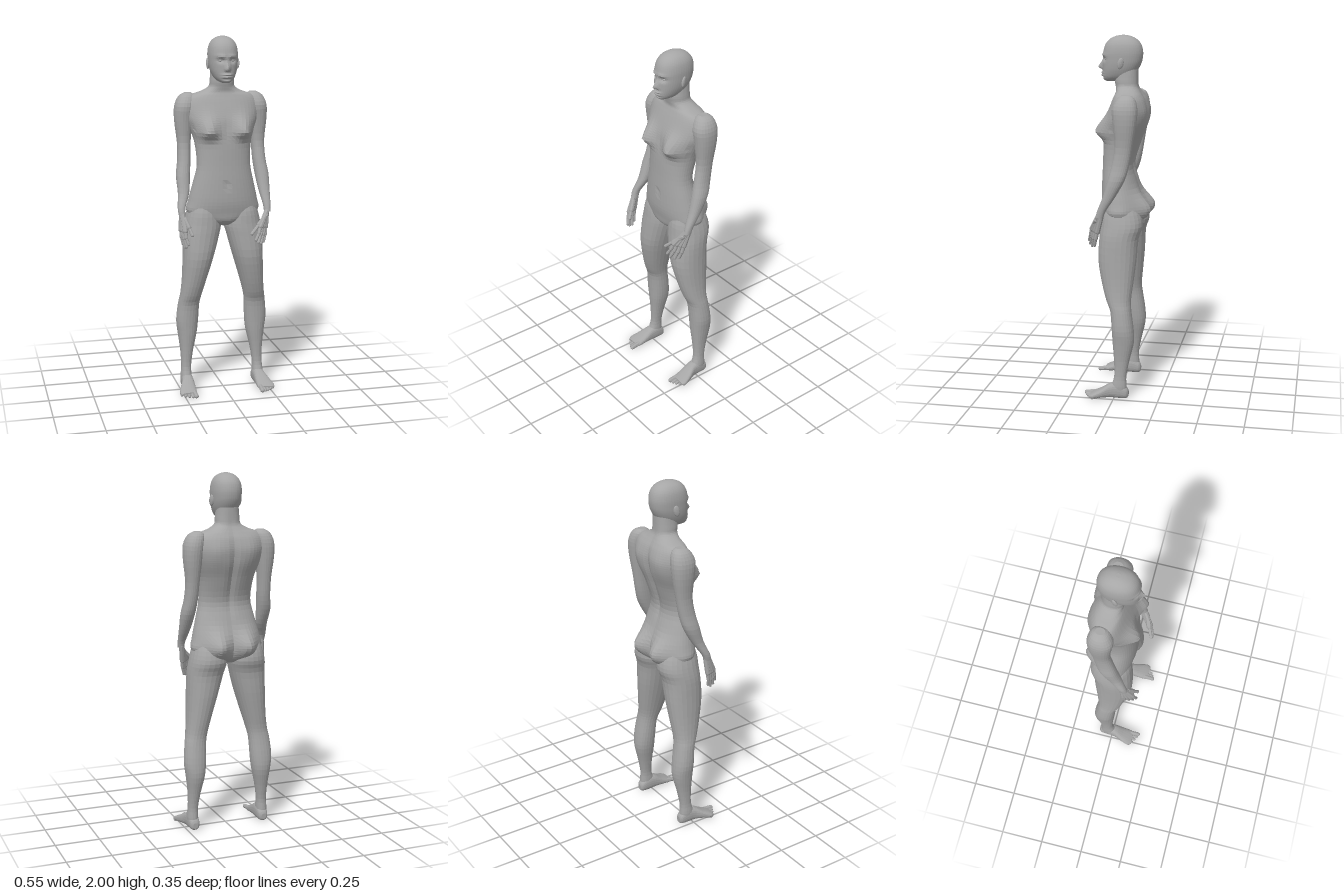
import * as THREE from 'three';

const skin = new THREE.MeshStandardMaterial({ color: 0xa6a6a6, flatShading: true });
skin.name = 'plain grey';

const gauss = (d, s) => Math.exp(-((d / s) ** 2));
const blob = (x, y, cx, cy, sx, sy) => gauss(Math.abs(x) - cx, sx) * gauss(y - cy, sy);

// Smooth interpolation between cross-section rows
function smoothRows(rows, steps) {
  const out = [];
  for (let i = 0; i < rows.length - 1; i++) {
    const [a, b, c, d] = [-1, 0, 1, 2].map(k => rows[Math.min(Math.max(i + k, 0), rows.length - 1)]);
    for (let s = 0; s < steps; s++) {
      const t = s / steps;
      out.push(b.map((v, k) => v + 0.5 * t * (c[k] - a[k] +
        t * (2 * a[k] - 5 * v + 4 * c[k] - d[k] + t * (3 * (v - c[k]) + d[k] - a[k])))));
    }
  }
  out.push(rows[rows.length - 1]);
  return out;
}

// Skin over rows of [position, centre x, half width, front, back].
// Rows run down y, or forward along z when alongZ is set.
function loft(name, rows, { n = 24, steps = 3, deform, alongZ = false, power = 0.9 } = {}) {
  const rings = smoothRows(rows, steps), pos = [], index = [];
  const first = rings[0], last = rings[rings.length - 1];
  const point = r => [r[0], r[1], 0, (r[3] + r[4]) / 2, (r[3] + r[4]) / 2];
  const all = [point(first), ...rings, point(last)];
  const curve = v => Math.sign(v) * Math.abs(v) ** power;
  all.forEach(([t, cx, r, f, b], j) => {
    for (let i = 0; i < n; i++) {
      const a = (i / n) * Math.PI * 2;
      const u = cx + r * curve(Math.cos(a));
      const v = (f + b) / 2 + ((f - b) / 2) * curve(Math.sin(a));
      const p = alongZ ? new THREE.Vector3(u, v, t) : new THREE.Vector3(u, t, v);
      if (deform) deform(p);
      pos.push(p.x, p.y, p.z);
      if (j < all.length - 1) {
        const k = (i + 1) % n, o = j * n, q = o + n;
        index.push(o + i, o + k, q + i, o + k, q + k, q + i);
      }
    }
  });
  const g = new THREE.BufferGeometry();
  g.setAttribute('position', new THREE.Float32BufferAttribute(pos, 3));
  g.setIndex(index);
  g.computeVertexNormals();
  const mesh = new THREE.Mesh(g, skin);
  mesh.name = name;
  return mesh;
}

// Rounded rod between two points, for fingers and toes
function rod(name, a, b, r) {
  const p = new THREE.Vector3(...a), q = new THREE.Vector3(...b);
  const m = new THREE.Mesh(new THREE.CapsuleGeometry(r, p.distanceTo(q), 4, 8), skin);
  m.position.copy(p).add(q).multiplyScalar(0.5);
  m.quaternion.setFromUnitVectors(new THREE.Vector3(0, 1, 0), q.sub(p).normalize());
  m.name = name;
  return m;
}

function ellipsoid(name, x, y, z, sx, sy, sz) {
  const m = new THREE.Mesh(new THREE.SphereGeometry(1, 12, 10), skin);
  m.position.set(x, y, z);
  m.scale.set(sx, sy, sz);
  m.name = name;
  return m;
}

function makeHead() {
  const head = new THREE.Group();
  head.name = 'head';
  head.add(loft('skullAndFace', [
    [2.0, 0, 0.012, 0.0, -0.025], [1.994, 0, 0.032, 0.03, -0.055], [1.978, 0, 0.056, 0.062, -0.086],
    [1.95, 0, 0.073, 0.085, -0.11], [1.91, 0, 0.08, 0.097, -0.12], [1.87, 0, 0.079, 0.1, -0.117],
    [1.84, 0, 0.076, 0.1, -0.107], [1.81, 0, 0.069, 0.1, -0.09], [1.78, 0, 0.056, 0.1, -0.07],
    [1.762, 0, 0.04, 0.098, -0.04], [1.752, 0, 0.022, 0.085, 0.0],
  ], {
    n: 48, steps: 5, deform: p => {
      if (p.z < 0.03) return;
      const { x, y } = p;
      p.z += 0.027 * gauss(x, 0.013) * gauss(y - 0.006 - 1.82, y < 1.822 ? 0.01 : 0.028) // nose
        - 0.014 * blob(x, y, 0.032, 1.872, 0.018, 0.013)   // eye sockets
        + 0.006 * blob(x, y, 0.03, 1.895, 0.025, 0.01)     // brow
        + 0.011 * gauss(x, 0.024) * (gauss(y - 1.797, 0.006) + gauss(y - 1.783, 0.006)) // lips
        - 0.005 * gauss(x, 0.02) * gauss(y - 1.773, 0.005);
    },
  }));
  for (const s of [-1, 1]) {
    head.add(ellipsoid('eye', s * 0.032, 1.872, 0.072, 0.015, 0.009, 0.013));
    const ear = ellipsoid('ear', s * 0.083, 1.852, -0.012, 0.009, 0.031, 0.017);
    ear.rotation.set(-0.2, s * 0.35, 0);
    head.add(ear);
  }
  return head;
}

function makeTorso() {
  return loft('torso', [
    [1.82, 0, 0.06, 0.03, -0.095], [1.76, 0, 0.066, 0.034, -0.095], [1.725, 0, 0.073, 0.028, -0.098],
    [1.7, 0, 0.115, 0.024, -0.11], [1.68, 0, 0.172, 0.03, -0.122], [1.65, 0, 0.2, 0.042, -0.138],
    [1.6, 0, 0.208, 0.06, -0.15], [1.55, 0, 0.2, 0.075, -0.148], [1.5, 0, 0.182, 0.082, -0.138],
    [1.42, 0, 0.158, 0.092, -0.11], [1.3, 0, 0.15, 0.096, -0.075], [1.2, 0, 0.171, 0.1, -0.095],
    [1.1, 0, 0.195, 0.1, -0.12], [1.035, 0, 0.203, 0.09, -0.122], [0.99, 0, 0.13, 0.08, -0.11],
    [0.96, 0, 0.04, 0.05, -0.08],
  ], {
    n: 48, steps: 4, deform: p => {
      const { x, y } = p;
      if (p.z > 0.02) {
        p.z += 0.056 * blob(x, y, 0.1, 1.485, 0.05, y < 1.485 ? 0.037 : 0.07) // breasts
          + 0.008 * blob(x, y, 0.118, 1.478, 0.011, 0.011)
          - 0.007 * gauss(x, 0.015) * gauss(y - 1.19, 0.016);                  // navel
      } else if (p.z < -0.03) {
        p.z -= 0.064 * blob(x, y, 0.085, 1.055, 0.06, 0.075);                  // buttocks
        p.z -= 0.01 * blob(x, y, 0.1, 1.58, 0.05, 0.08);                       // shoulder blades
        p.z += 0.018 * gauss(x, 0.022) * gauss(y - 1.45, 0.2);                 // spine
      }
    },
  });
}

function makeLeg(s) {
  const leg = new THREE.Group();
  leg.name = s > 0 ? 'leftLeg' : 'rightLeg';
  const side = rows => rows.map(([t, c, ...rest]) => [t, s * c, ...rest]);
  leg.add(loft('thighAndCalf', side([
    [1.12, 0.1, 0.07, 0.06, -0.09], [1.04, 0.11, 0.088, 0.085, -0.13], [0.97, 0.113, 0.103, 0.092, -0.142],
    [0.9, 0.125, 0.1, 0.097, -0.12], [0.78, 0.143, 0.085, 0.1, -0.112], [0.65, 0.165, 0.068, 0.075, -0.098],
    [0.56, 0.182, 0.06, 0.048, -0.088], [0.5, 0.193, 0.06, 0.024, -0.092], [0.4, 0.2, 0.062, 0.015, -0.106],
    [0.32, 0.2, 0.053, 0.01, -0.108], [0.22, 0.205, 0.036, 0.002, -0.085], [0.13, 0.21, 0.028, 0.0, -0.068],
    [0.07, 0.212, 0.031, 0.015, -0.07], [0.03, 0.212, 0.028, 0.015, -0.07],
  ])));
  leg.add(loft('foot', side([
    [-0.08, 0.21, 0.014, 0.045, 0.012], [-0.068, 0.21, 0.027, 0.065, 0.002], [-0.03, 0.21, 0.033, 0.09, 0],
    [0.02, 0.212, 0.035, 0.084, 0.002], [0.07, 0.221, 0.044, 0.055, 0.002], [0.11, 0.227, 0.049, 0.036, 0],
    [0.132, 0.225, 0.042, 0.025, 0.004],
  ]), { alongZ: true, power: 0.8 }));
  for (let i = 0; i < 5; i++) {
    const r = i ? 0.0095 - i * 0.0004 : 0.013;
    leg.add(rod('toe', [s * (0.194 + i * 0.016), r + 0.008, 0.105 - i * 0.006],
      [s * (0.192 + i * 0.0185), r, 0.161 - i * (0.004 + i * 0.0018)], r));
  }
  return leg;
}

function makeArm(s, wrist, knuckles, tips, thumb) {
  const arm = new THREE.Group();
  arm.name = s > 0 ? 'leftArm' : 'rightArm';
  const [wx, wy, wz] = wrist;
  arm.add(loft('upperArmAndForearm', [
    [1.692, 0.185, 0.02, -0.035, -0.085], [1.672, 0.192, 0.045, -0.01, -0.11], [1.62, 0.205, 0.055, 0.012, -0.125],
    [1.54, 0.211, 0.05, 0.005, -0.12], [1.42, 0.211, 0.037, -0.005, -0.1], [1.32, 0.215, 0.036, 0.012, -0.083],
    [1.24, 0.225, 0.038, 0.033, -0.06], [1.15, 0.23, 0.031, 0.058, -0.01],
  ].map(([y, c, ...rest]) => [y, s * c, ...rest]).concat([
    [wy + 0.03, wx, 0.021, wz + 0.014, wz - 0.034], [wy - 0.01, wx, 0.018, wz + 0.026, wz - 0.018],
  ])));
  // Each finger: bone across the palm, then two tapering joints
  tips.forEach((tip, i) => {
    const t = i / 3, k = knuckles[0].map((v, a) => v + (knuckles[1][a] - v) * t);
    const mid = k.map((v, a) => (v + tip[a]) / 2 + (a === 0 ? s * 0.004 : 0));
    arm.add(rod('palm', [wx, wy, wz + (t - 0.5) * 0.016], k, 0.0145));
    arm.add(rod('finger', k, mid, 0.0105), rod('fingertip', mid, tip, 0.0085));
  });
  const base = [wx - s * 0.012, wy - 0.03, wz + 0.025];
  const joint = base.map((v, a) => (v + thumb[a]) / 2);
  arm.add(rod('thumbBase', base, joint, 0.014), rod('thumb', joint, thumb, 0.0095));
  return arm;
}

export function createModel() {
  const model = new THREE.Group();
  model.name = 'figure';
  model.add(makeHead(), makeTorso(), makeLeg(1), makeLeg(-1));
  model.add(makeArm(-1, [-0.25, 1.045, 0.075],
    [[-0.257, 0.955, 0.078], [-0.242, 0.955, 0.126]],
    [[-0.248, 0.878, 0.088], [-0.241, 0.863, 0.108], [-0.236, 0.868, 0.129], [-0.229, 0.885, 0.146]],
    [-0.207, 0.935, 0.148]));
  model.add(makeArm(1, [0.235, 1.045, 0.073],
    [[0.222, 0.952, 0.09], [0.183, 0.96, 0.128]],
    [[0.205, 0.872, 0.11], [0.187, 0.866, 0.127], [0.168, 0.874, 0.141], [0.152, 0.89, 0.15]],
    [0.13, 0.925, 0.145]));
  return model;
}
